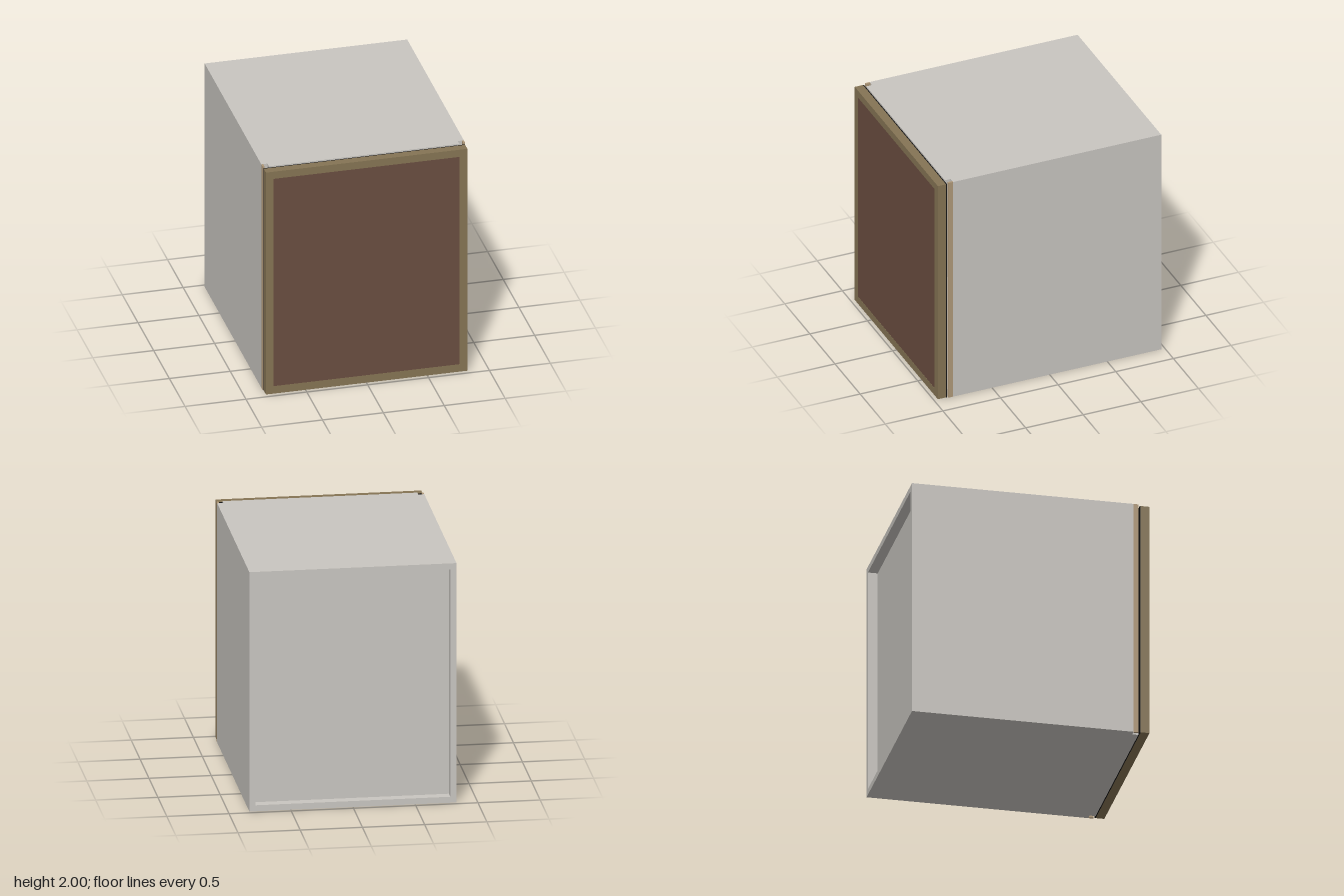
import * as THREE from 'three';

const mat = (name, color) => {
  const m = new THREE.MeshStandardMaterial({ color });
  m.name = name;
  return m;
};

export function createModel() {
  const grey = mat('carcass grey', 0xc8c5c0);
  const olive = mat('door frame olive', 0x857454);
  const brown = mat('door panel brown', 0x6a4e40);
  const tan = mat('edge strip tan', 0xaf9878);
  const black = mat('gasket black', 0x141414);

  const cabinet = new THREE.Group();
  cabinet.name = 'cabinet';

  // Box given by its minimum and maximum corners
  const box = (name, material, [x0, y0, z0], [x1, y1, z1]) => {
    const mesh = new THREE.Mesh(new THREE.BoxGeometry(x1 - x0, y1 - y0, z1 - z0), material);
    mesh.position.set((x0 + x1) / 2, (y0 + y1) / 2, (z0 + z1) / 2);
    mesh.name = name;
    cabinet.add(mesh);
  };

  const W = 0.832, T = 0.05, H = 2, BACK = -0.968;
  const inner = W - T;

  // Side panels with tan edge strips in the open front corner notches
  for (const [side, s] of [['left', 1], ['right', -1]]) {
    const span = (a, b) => (s > 0 ? [a, b] : [-b, -a]);
    const [p0, p1] = span(inner, W);
    box(side + 'SidePanel', grey, [p0, 0, BACK], [p1, H, 0.838]);
    const [e0, e1] = span(W - 0.016, W);
    box(side + 'EdgeStrip', tan, [e0, 0, 0.838], [e1, H, 0.878]);
  }

  // Top, bottom and recessed back
  box('topPanel', grey, [-inner, H - T, BACK], [inner, H, 0.887]);
  box('bottomPanel', grey, [-inner, 0, BACK], [inner, T, 0.887]);
  box('backPanel', grey, [-inner, T, BACK + 0.08], [inner, H - T, BACK + 0.11]);

  // Door: gasket, frame with an opening, and filling panel
  const dw = 0.827, d0 = 0.004, d1 = 1.99, pw = 0.764, p0 = 0.07, p1 = 1.926;
  box('doorGasket', black, [-dw, d0, 0.889], [dw, d1, 0.897]);

  const rect = (path, w, y0, y1) => {
    path.moveTo(-w, y0);
    path.lineTo(w, y0);
    path.lineTo(w, y1);
    path.lineTo(-w, y1);
    path.closePath();
    return path;
  };
  const outline = rect(new THREE.Shape(), dw, d0, d1);
  outline.holes.push(rect(new THREE.Path(), pw, p0, p1));
  const frame = new THREE.Mesh(
    new THREE.ExtrudeGeometry(outline, { depth: 0.071, bevelEnabled: false }), olive);
  frame.position.z = 0.897;
  frame.name = 'doorFrame';
  cabinet.add(frame);
  box('doorPanel', brown, [-pw, p0, 0.9], [pw, p1, 0.967]);

  return cabinet;
}
